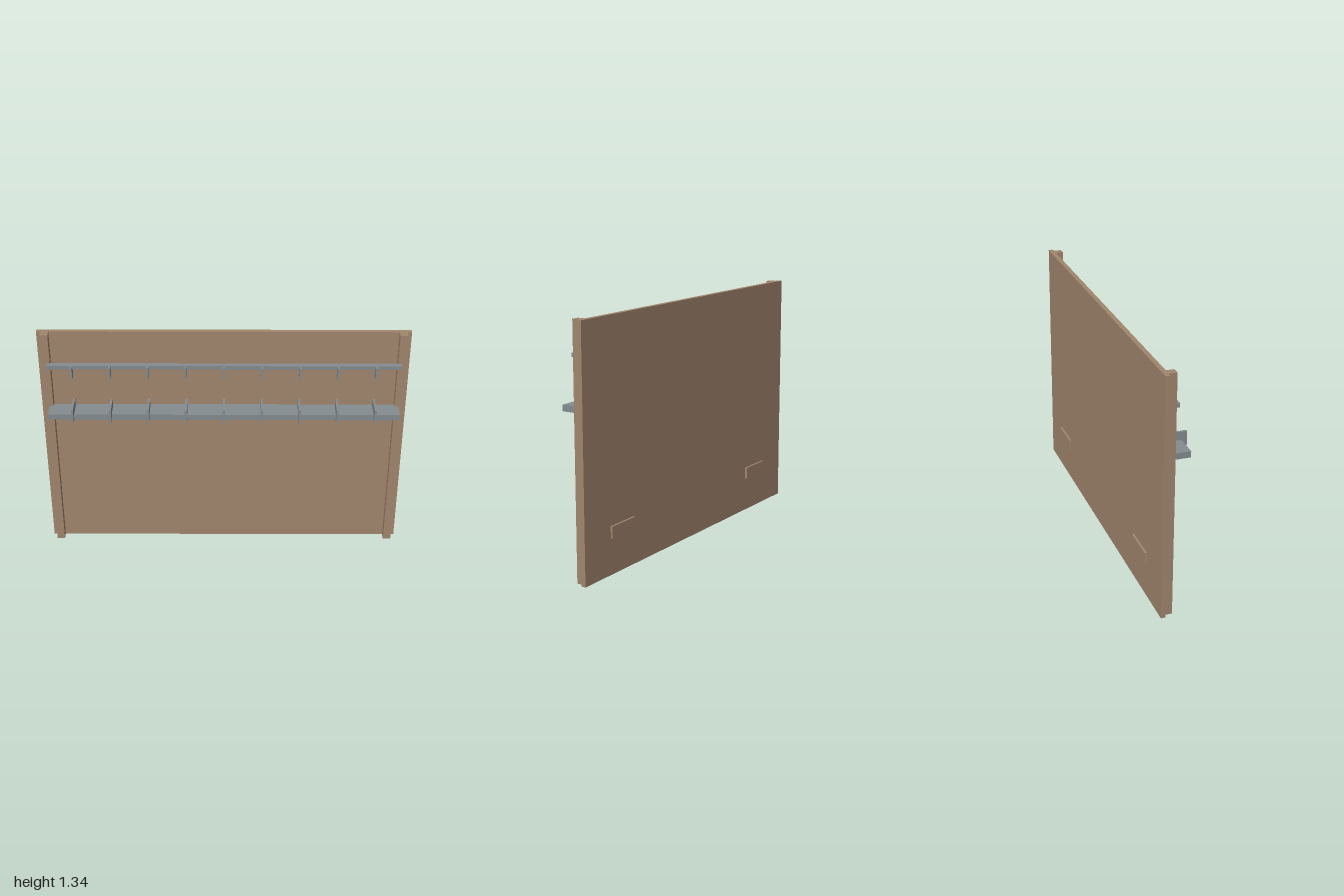
import * as THREE from 'three';

export function createModel() {
  const root = new THREE.Group();
  root.name = 'wallRack';

  const wood = new THREE.MeshStandardMaterial({ color: 0xa1866d });
  wood.name = 'brown wood';
  const metal = new THREE.MeshStandardMaterial({ color: 0x848c90 });
  metal.name = 'grey metal';

  // Box given by its extents along each axis
  function box(name, material, [x0, x1], [y0, y1], [z0, z1]) {
    const mesh = new THREE.Mesh(new THREE.BoxGeometry(x1 - x0, y1 - y0, z1 - z0), material);
    mesh.position.set((x0 + x1) / 2, (y0 + y1) / 2, (z0 + z1) / 2);
    mesh.name = name;
    root.add(mesh);
  }

  const height = 1.343;

  // Back board
  box('backPanel', wood, [-1, 1], [0, height], [-0.087, -0.061]);

  // Upright posts in front and spacer pads behind, mirrored
  for (const side of [-1, 1]) {
    const span = (a, b) => (side > 0 ? [a, b] : [-b, -a]);
    const label = side > 0 ? 'left' : 'right';
    box(label + 'Post', wood, span(0.934, 0.977), [0, height], [-0.061, -0.018]);
    box(label + 'BackPad', wood, span(0.583, 0.782), [0.195, 0.262], [-0.099, -0.087]);
  }

  // Shelf and upper rail
  box('shelf', metal, [-0.955, 0.955], [0.874, 0.907], [-0.041, 0.071]);
  box('rail', metal, [-0.955, 0.955], [1.151, 1.173], [-0.024, 0.007]);

  // Shelf dividers and matching rail hooks
  for (let i = -4; i <= 4; i++) {
    const x = i * 0.2045;
    const width = [x - 0.006, x + 0.006];
    box('divider', metal, width, [0.873, 0.952], [-0.024, 0.1]);
    box('hook', metal, width, [1.104, 1.172], [-0.012, 0.032]);
  }

  return root;
}
